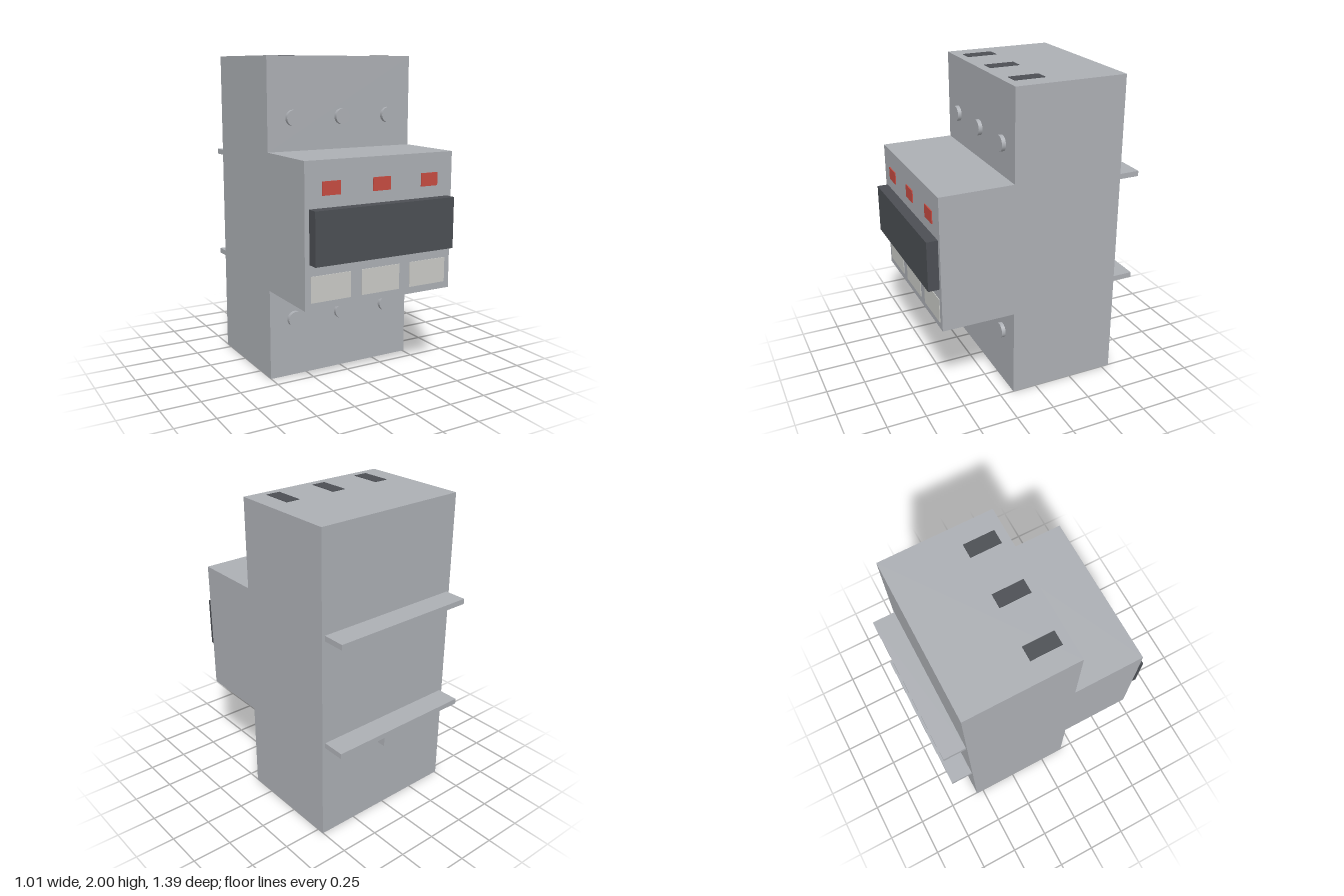
import * as THREE from 'three';

const mat = (name, color) => {
  const m = new THREE.MeshStandardMaterial({ color });
  m.name = name;
  return m;
};

export function createModel() {
  const model = new THREE.Group();
  model.name = 'circuitBreaker';

  const grey = mat('housing grey', 0xacafb4);
  const dark = mat('dark grey', 0x4c4f54);
  const red = mat('indicator red', 0xc64b41);
  const pale = mat('label off-white', 0xc9cac6);

  const add = (name, geometry, material) => {
    const mesh = new THREE.Mesh(geometry, material);
    mesh.name = name;
    model.add(mesh);
    return mesh;
  };
  // Box given by its limits on each axis
  const box = (name, material, [x0, x1], [y0, y1], [z0, z1]) =>
    add(name, new THREE.BoxGeometry(x1 - x0, y1 - y0, z1 - z0), material)
      .position.set((x0 + x1) / 2, (y0 + y1) / 2, (z0 + z1) / 2);

  // Housing: stepped side profile (z, y) extruded across the width
  const width = 1.01, back = -0.55, shoulder = 0.16, nose = 0.625;
  const profile = new THREE.Shape([
    [back, 0.003], [shoulder, 0.003], [shoulder, 0.577], [nose, 0.577],
    [nose, 1.43], [shoulder, 1.43], [shoulder, 1.997], [back, 1.997],
  ].map(([z, y]) => new THREE.Vector2(-z, y)));
  const housing = new THREE.ExtrudeGeometry(profile, { depth: width, bevelEnabled: false });
  housing.translate(0, 0, -width / 2).rotateY(Math.PI / 2);
  add('housing', housing, grey);

  // Parts repeated for each of the three poles
  for (const x of [-0.337, 0, 0.337]) {
    // Terminal screws, above and below the nose
    for (const y of [0.375, 1.63]) {
      const screw = new THREE.CylinderGeometry(0.049, 0.049, 0.025, 24).rotateX(Math.PI / 2);
      add('terminalScrew', screw, grey).position.set(x, y, shoulder + 0.0125);
    }
    // Wire entry slots in the top and bottom
    const slotX = [x - 0.045, x + 0.045], slotZ = [-0.088, 0.105];
    box('topWireSlot', dark, slotX, [1.995, 2], slotZ);
    box('bottomWireSlot', dark, slotX, [0, 0.005], slotZ);
    // Status window and label plate
    box('statusWindow', red, [x - 0.059, x + 0.059], [1.23, 1.31], [nose - 0.002, nose + 0.006]);
    box('labelPlate', pale, [x - 0.131, x + 0.131], [0.62, 0.775], [nose - 0.002, nose + 0.004]);
  }

  // Switch handle shared by the poles
  box('switchHandle', dark, [-0.476, 0.476], [0.845, 1.16], [nose, 0.695]);

  // Mounting rail lips and release clip on the back
  for (const y of [0.635, 1.34]) box('railLip', grey, [-0.484, 0.484], [y, y + 0.034], [-0.695, back]);
  box('railClip', grey, [-0.055, 0.055], [0.49, 0.635], [-0.605, back]);

  return model;
}
